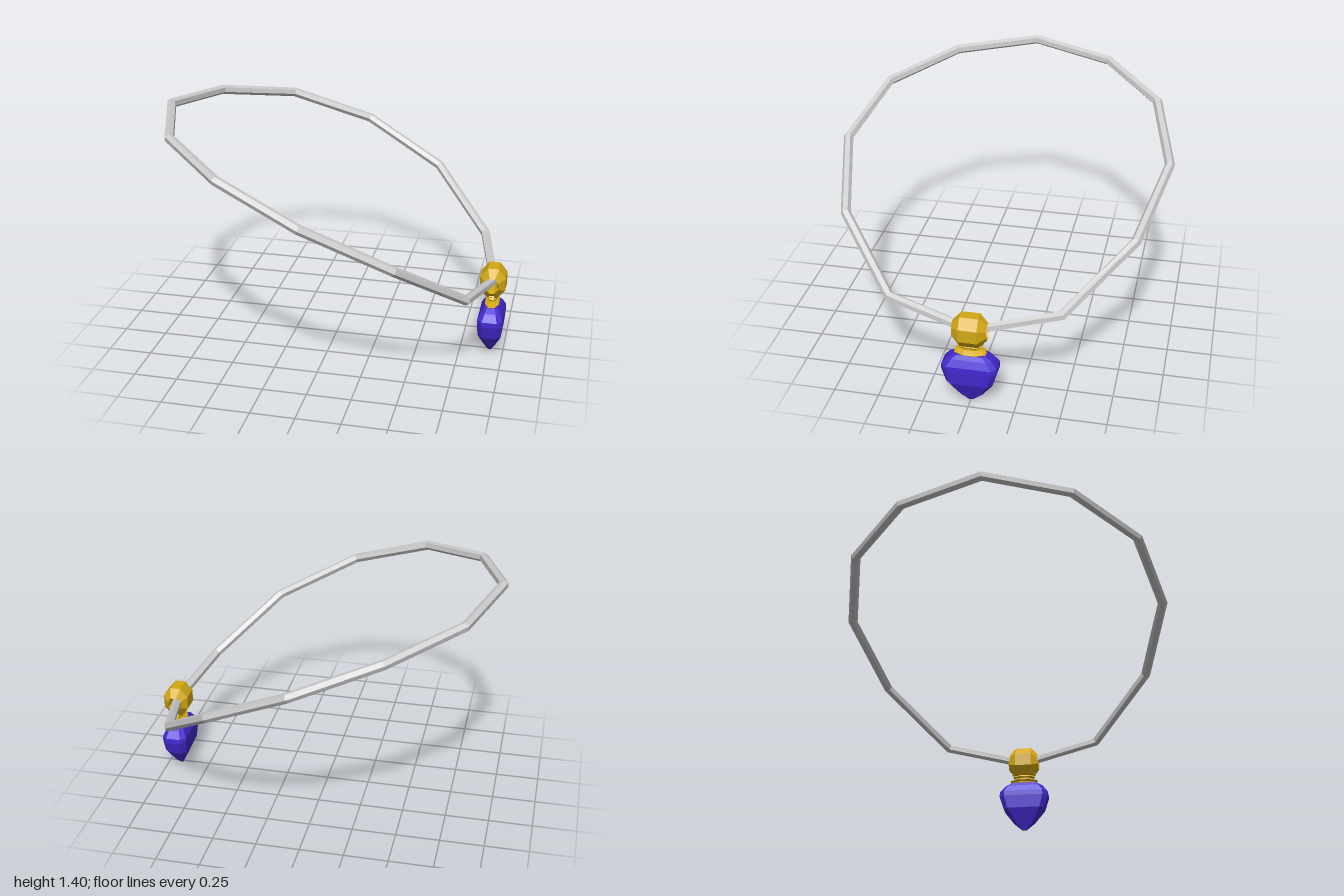
import * as THREE from 'three';

const PENDANT_X = 0.923;

// Skin a list of equal-sized rings of points; flat shaded facets
function loft(rings, closed = false) {
  const n = rings[0].length, m = rings.length, index = [];
  for (let i = 0; i < (closed ? m : m - 1); i++) {
    for (let j = 0; j < n; j++) {
      const a = i * n + j, b = i * n + (j + 1) % n;
      const c = ((i + 1) % m) * n + j, d = ((i + 1) % m) * n + (j + 1) % n;
      index.push(a, c, b, b, c, d);
    }
  }
  const indexed = new THREE.BufferGeometry().setFromPoints(rings.flat());
  indexed.setIndex(index);
  const geometry = indexed.toNonIndexed();
  geometry.computeVertexNormals();
  return geometry;
}

// Angles of a regular polygon, turned by half a side when asked
const angles = (sides, half = false) =>
  Array.from({ length: sides }, (_, j) => (j + (half ? 0.5 : 0)) / sides * Math.PI * 2);

// Twelve straight chain segments with mitred hexagonal section
function chainGeometry() {
  const side = [[-0.82, 1.325, 0.47], [-0.455, 1.235, 0.805], [0.01, 1.06, 0.928],
    [0.48, 0.82, 0.805], [0.82, 0.53, 0.47]];
  const points = [[-0.973, 1.37, 0], ...side, [0.925, 0.445, 0],
    ...side.slice().reverse().map(([x, y, z]) => [x, y, -z])].map(p => new THREE.Vector3(...p));
  const count = points.length, radius = 0.0275;
  const planeNormal = new THREE.Vector3(0.45, 0.9, 0).normalize();
  const rings = points.map((p, i) => {
    const before = p.clone().sub(points[(i + count - 1) % count]).normalize();
    const after = points[(i + 1) % count].clone().sub(p).normalize();
    const t = before.add(after).normalize();
    const b = planeNormal.clone().addScaledVector(t, -planeNormal.dot(t)).normalize();
    const n = t.clone().cross(b);
    return angles(6).map(a => p.clone()
      .addScaledVector(n, Math.cos(a) * radius * 1.035)
      .addScaledVector(b, Math.sin(a) * radius));
  });
  return loft(rings, true);
}

// Faceted hollow bead, threaded along z
function beadGeometry() {
  const profile = [[0.095, 0.5], [0.05, 1], [-0.05, 1], [-0.095, 0.5], [-0.06, 0.4], [0.06, 0.4]];
  const k = 1 / Math.cos(Math.PI / 8);
  return loft(profile.map(([z, s]) => angles(8, true).map(a =>
    new THREE.Vector3(0.073 * k * s * Math.cos(a), 0.09 * k * s * Math.sin(a), z))), true);
}

// Flattened stack of rims between bead and stone: [y, half depth]
function collarGeometry() {
  const profile = [[0.295, 0], [0.298, 0.08], [0.306, 0.087], [0.314, 0.062], [0.322, 0.085],
    [0.33, 0.055], [0.338, 0.055], [0.347, 0.068], [0.356, 0.058], [0.366, 0.075], [0.385, 0.06], [0.386, 0]];
  return loft(profile.map(([y, r]) => angles(8, true).map(a =>
    new THREE.Vector3(r * 0.5 * Math.cos(a), y, r * 1.08 * Math.sin(a)))));
}

// Cut stone with chamfered rectangular sections: [y, half width x, half depth z]
function stoneGeometry() {
  const sections = [[0, 0, 0], [0, 0.008, 0.015], [0.045, 0.028, 0.065], [0.13, 0.066, 0.127],
    [0.21, 0.072, 0.152], [0.24, 0.071, 0.151], [0.28, 0.052, 0.118], [0.302, 0.038, 0.085], [0.302, 0, 0]];
  return loft(sections.map(([y, w, d]) => {
    const u = w * 0.6, v = d * 0.8;
    return [[w, -v], [w, v], [u, d], [-u, d], [-w, v], [-w, -v], [-u, -d], [u, -d]]
      .map(([x, z]) => new THREE.Vector3(x, y, z));
  }));
}

export function createModel() {
  const model = new THREE.Group();
  model.name = 'necklace';
  const material = color => new THREE.MeshStandardMaterial({ color, flatShading: true });
  const gold = material(0xd4a915);
  const add = (parent, name, geometry, mat) => {
    const mesh = new THREE.Mesh(geometry, mat);
    mesh.name = name;
    parent.add(mesh);
    return mesh;
  };

  add(model, 'chain', chainGeometry(), material(0xcccccc));

  // Pendant hanging at the low end of the chain
  const pendant = new THREE.Group();
  pendant.name = 'pendant';
  pendant.position.x = PENDANT_X;
  model.add(pendant);
  add(pendant, 'bead', beadGeometry(), gold).position.y = 0.445;
  add(pendant, 'collar', collarGeometry(), gold);
  add(pendant, 'stone', stoneGeometry(), material(0x4429d0));
  return model;
}
